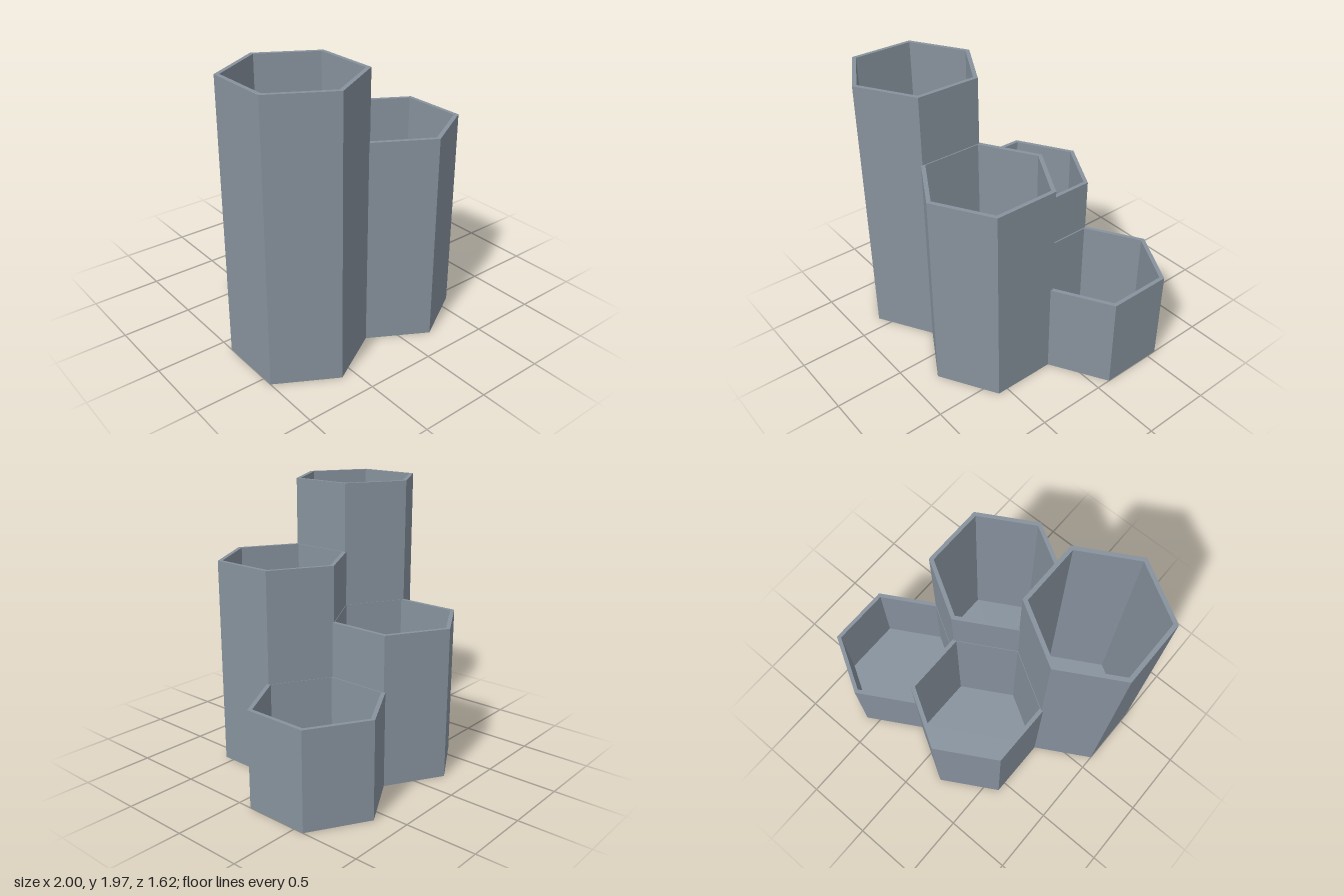
import * as THREE from 'three';

const OUTER = 0.469; // corner radius of a tube
const INNER = 0.436; // corner radius of its hollow
const FLOOR = 0.03;

// Open hexagonal cup with a corner pointing to the front
function hexCup(height) {
  const profile = [
    [0, 0], [OUTER, 0], [OUTER, height], [INNER, height], [INNER, FLOOR], [0, FLOOR],
  ].map(([r, y]) => new THREE.Vector2(r, y));
  const geometry = new THREE.LatheGeometry(profile, 6).toNonIndexed();
  geometry.computeVertexNormals(); // flat facets
  return geometry;
}

export function createModel() {
  const group = new THREE.Group();
  group.name = 'hexagonalOrganizer';
  const slate = new THREE.MeshStandardMaterial({ color: 0x87929d });
  slate.name = 'slateGrey';

  // Four cups in a honeycomb, stepping down from front to back
  const cups = [
    ['frontRightCup', -0.594, 0.34, 1.97],
    ['frontLeftCup', 0.198, 0.34, 1.48],
    ['backRightCup', -0.198, -0.34, 1.085],
    ['backLeftCup', 0.594, -0.34, 0.69],
  ];
  for (const [name, x, z, height] of cups) {
    const cup = new THREE.Mesh(hexCup(height), slate);
    cup.name = name;
    cup.position.set(x, 0, z);
    group.add(cup);
  }
  return group;
}
